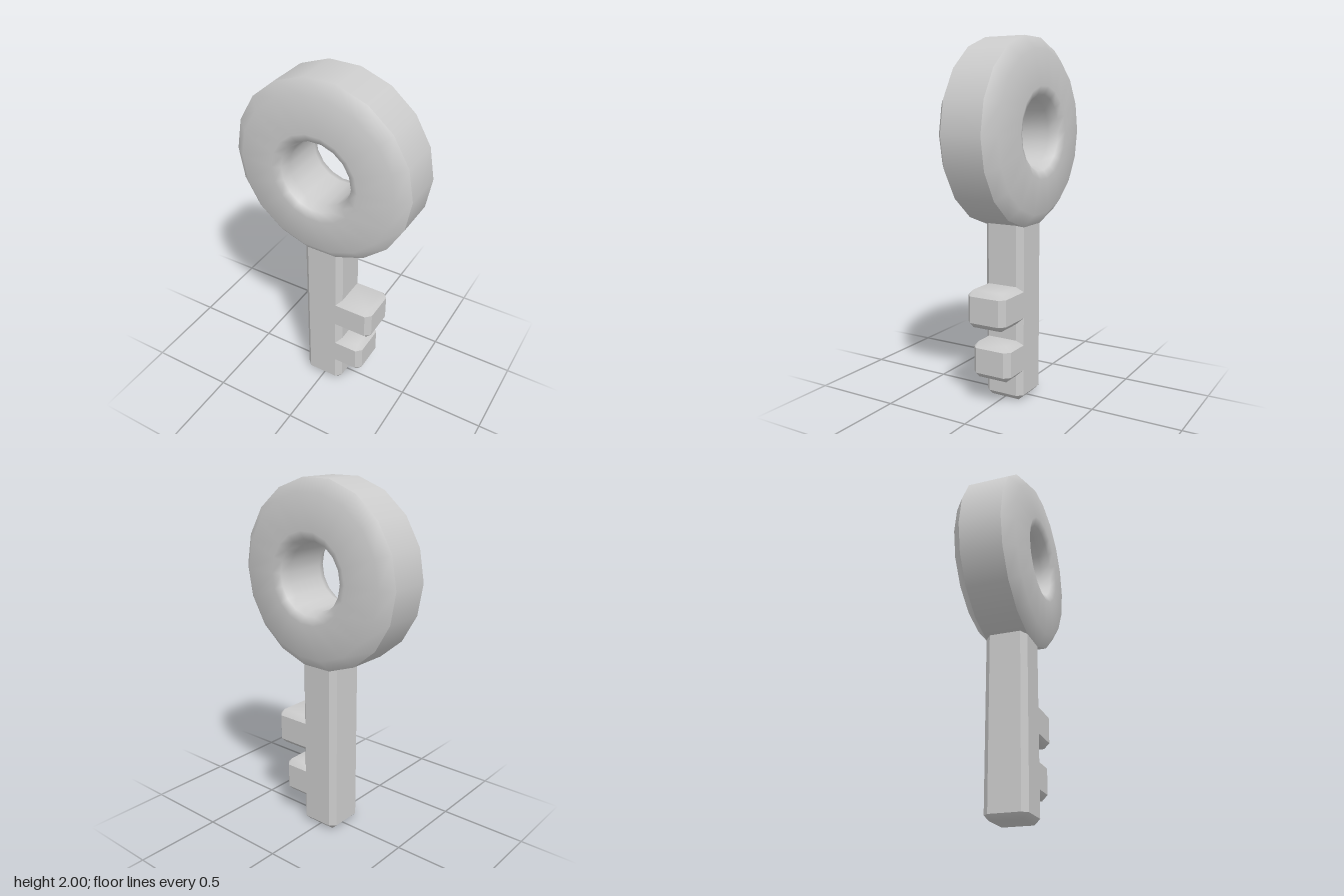
import * as THREE from 'three';
import { mergeVertices } from 'three/addons/utils/BufferGeometryUtils.js';
import { ConvexGeometry } from 'three/addons/geometries/ConvexGeometry.js';

const material = new THREE.MeshStandardMaterial({ color: 0xcccccc });
const BEVEL = 0.031;
const DEPTH = 0.119; // half thickness of shaft and teeth

// Geometry from a list of triangle coordinates, flat or smooth
function fromTriangles(coords, smooth) {
  let geo = new THREE.BufferGeometry();
  geo.setAttribute('position', new THREE.Float32BufferAttribute(coords, 3));
  if (smooth) geo = mergeVertices(geo, 1e-4);
  geo.computeVertexNormals();
  return geo;
}

// Chamfered bar: crisp vertical sides, softly shaded top and bottom ends
function bar(name, x0, x1, y0, y1) {
  const c = [(x0 + x1) / 2, (y0 + y1) / 2, 0];
  const h = [(x1 - x0) / 2, (y1 - y0) / 2, DEPTH];
  const points = [];
  for (let axis = 0; axis < 3; axis++)
    for (const sx of [-1, 1]) for (const sy of [-1, 1]) for (const sz of [-1, 1]) {
      const p = [sx, sy, sz].map((s, i) => c[i] + s * (h[i] - (i === axis ? 0 : BEVEL)));
      points.push(new THREE.Vector3(...p));
    }
  const hull = new ConvexGeometry(points);
  const pos = hull.attributes.position;
  const sides = [], ends = [];
  const tri = new THREE.Triangle(), n = new THREE.Vector3();
  for (let i = 0; i < pos.count; i += 3) {
    tri.setFromAttributeAndIndices(pos, i, i + 1, i + 2);
    tri.getNormal(n);
    const target = Math.abs(n.y) > 0.4 ? ends : sides;
    for (const v of [tri.a, tri.b, tri.c]) target.push(v.x, v.y, v.z);
  }
  const group = new THREE.Group();
  group.name = name;
  [[sides, false, 'Sides'], [ends, true, 'Ends']].forEach(([coords, smooth, part]) => {
    const mesh = new THREE.Mesh(fromTriangles(coords, smooth), material);
    mesh.name = name + part;
    group.add(mesh);
  });
  return group;
}

// One turned piece of the bow, with its axis along z
function turned(name, profile) {
  const pts = profile.map(([r, z]) => new THREE.Vector2(r, z));
  const geo = new THREE.LatheGeometry(pts, 18, Math.PI / 2);
  geo.rotateX(Math.PI / 2);
  const mesh = new THREE.Mesh(geo, material);
  mesh.name = name;
  return mesh;
}

export function createModel() {
  const model = new THREE.Group();
  model.name = 'key';

  // Ring-shaped bow: rounded faces and hole, with a crisp outer rim
  const bow = new THREE.Group();
  bow.name = 'bow';
  const half = [[0.513, 0.119], [0.445, 0.175], [0.25, 0.193], [0.205, 0.172], [0.185, 0.119]];
  const mirrored = half.map(([r, z]) => [r, -z]).reverse();
  bow.add(turned('bowFaces', [...half, ...mirrored]));
  bow.add(turned('bowRim', [[0.513, -0.119], [0.513, 0.119]]));
  bow.position.y = 1.495;
  model.add(bow);

  // Shaft, running up into the bow
  model.add(bar('shaft', -0.119, 0.119, 0, 1.08));

  // Two teeth on the +x side
  model.add(bar('upperTooth', 0.055, 0.31, 0.45, 0.66));
  model.add(bar('lowerTooth', 0.055, 0.257, 0.15, 0.355));
  return model;
}
